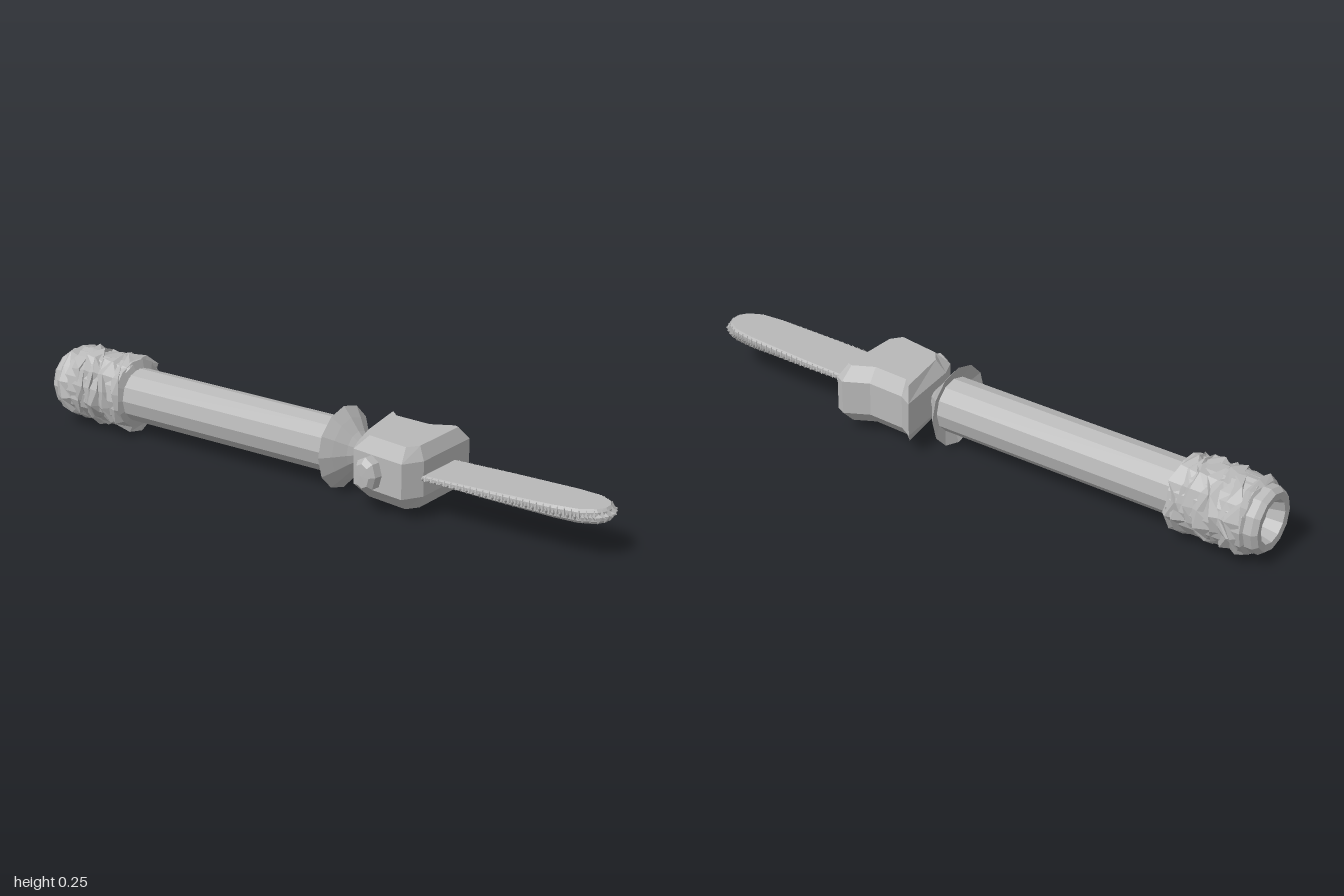
import * as THREE from 'three';
import { mergeGeometries } from 'three/addons/utils/BufferGeometryUtils.js';

const AXIS_Y = 0.128;
const steel = new THREE.MeshStandardMaterial({ color: 0xb8b8b8, flatShading: true });
steel.name = 'grey steel';
const wrapGrey = steel.clone();
wrapGrey.name = 'grey wrap';
wrapGrey.side = THREE.DoubleSide;

let seed = 7;
const rand = () => ((seed = (seed * 16807) % 2147483647) / 2147483647);

function part(name, geometry, material = steel) {
  const mesh = new THREE.Mesh(geometry, material);
  mesh.name = name;
  return mesh;
}

// Skin over equal rings of points stacked upwards; each ring runs +x on its +z side
function loft(rings, capped = true) {
  const pos = [];
  const tri = (...pts) => pts.forEach((p) => pos.push(p.x, p.y, p.z));
  const n = rings[0].length;
  for (let k = 0; k + 1 < rings.length; k++) {
    for (let i = 0; i < n; i++) {
      const j = (i + 1) % n, lo = rings[k], hi = rings[k + 1];
      tri(lo[i], lo[j], hi[j]);
      tri(lo[i], hi[j], hi[i]);
    }
  }
  if (capped) {
    const cap = (ring, up) => {
      const flat = ring.map((p) => new THREE.Vector2(p.x, -p.z));
      for (const [a, b, c] of THREE.ShapeUtils.triangulateShape(flat, [])) {
        if (up) tri(ring[a], ring[b], ring[c]);
        else tri(ring[c], ring[b], ring[a]);
      }
    };
    cap(rings[0], false);
    cap(rings[rings.length - 1], true);
  }
  const g = new THREE.BufferGeometry();
  g.setAttribute('position', new THREE.Float32BufferAttribute(pos, 3));
  g.computeVertexNormals();
  return g;
}

// Turned part along the x axis, from [radius, x] pairs
function turned(profile, sides = 12) {
  const g = new THREE.LatheGeometry(profile.map(([r, x]) => new THREE.Vector2(r, x)), sides);
  return g.rotateZ(-Math.PI / 2);
}

// Ragged, tilted strip wound round the grip
function wrapBand(x, width) {
  const n = 14, tilt = (rand() - 0.5) * 0.3, turn = rand() * 6;
  const edge = (x0, radius) => Array.from({ length: n }, (_, i) => {
    const a = (i / n) * Math.PI * 2;
    const r = radius + (rand() - 0.5) * 0.014;
    const px = x0 + Math.cos(a + turn) * tilt * 0.08 + (rand() - 0.5) * 0.04;
    return new THREE.Vector3(Math.max(-0.965, Math.min(-0.708, px)), r * Math.cos(a), r * Math.sin(a));
  });
  return loft([edge(x, 0.106), edge(x + width * 0.6, 0.119), edge(x + width, 0.105)], false);
}

function buildHead() {
  const outer = [[0.145, -0.16], [0.19, -0.135], [0.315, -0.13], [0.39, -0.17], [0.42, -0.155],
    [0.42, 0.08], [0.385, 0.14], [0.2, 0.115], [0.175, 0.06]].reverse();
  const inner = [[0.17, -0.125], [0.2, -0.1], [0.32, -0.095], [0.385, -0.13], [0.4, -0.125],
    [0.4, 0.07], [0.375, 0.105], [0.235, 0.085], [0.205, 0.05]].reverse();
  const ring = (pts, y) => pts.map(([x, z]) => new THREE.Vector3(x, y, z));
  return loft([ring(inner, -0.094), ring(outer, -0.053), ring(outer, 0.054), ring(inner, 0.094)]);
}

// Guide bar outline, half width along x
const barHalf = [[0.4, 0.086], [0.62, 0.086], [0.84, 0.079], [0.92, 0.068], [0.963, 0.042], [0.978, 0.014]];
const barOutline = [...barHalf, ...barHalf.map(([x, w]) => [x, -w]).reverse()];
const barThickness = (x) => 0.007 + 0.015 * (x - 0.4) / 0.58;

function buildBar() {
  const ring = (scale, level) => barOutline.map(([x, z]) => {
    const px = x > 0.9 ? x - (1 - scale) * 0.08 : x;
    return new THREE.Vector3(px, level * barThickness(x), z * scale);
  });
  return loft([ring(0.92, -1), ring(1, -0.6), ring(1, 0.6), ring(0.92, 1)]);
}

function buildChain() {
  const path = new THREE.CurvePath();
  for (let i = 0; i + 1 < barOutline.length; i++) {
    const [a, b] = [barOutline[i], barOutline[i + 1]];
    path.add(new THREE.LineCurve(new THREE.Vector2(...a), new THREE.Vector2(...b)));
  }
  const teeth = [], count = 116;
  for (let i = 2; i < count - 1; i++) {
    const p = path.getPointAt(i / count);
    const t = path.getTangentAt(i / count);
    // Pointed tooth leaning along the chain, alternately up and down
    const g = new THREE.ConeGeometry(0.007, 0.02, 4);
    g.scale(1, 1, barThickness(p.x) * 0.85 / 0.007);
    g.rotateX((i % 2 ? 1 : -1) * 0.25).rotateZ(-0.35);
    g.rotateX(Math.PI / 2);
    g.rotateY(-Math.atan2(t.y, t.x));
    g.translate(p.x - t.y * 0.004, 0, p.y + t.x * 0.004);
    teeth.push(g);
  }
  return mergeGeometries(teeth);
}

export function createModel() {
  const model = new THREE.Group();
  model.name = 'poleSaw';
  const tool = new THREE.Group();
  tool.name = 'tool';
  tool.position.y = AXIS_Y;
  model.add(tool);

  // Shaft and hollow butt end
  tool.add(part('shaft', turned([[0.085, -0.74], [0.085, 0.105]])));
  tool.add(part('buttCap', turned([[0, -0.95], [0.052, -0.95], [0.066, -0.998], [0.088, -1],
    [0.1, -0.985], [0.1, -0.93]])));

  // Wrapped grip
  tool.add(part('gripCore', turned([[0.09, -0.966], [0.11, -0.955], [0.112, -0.72], [0.085, -0.71]], 14)));
  const bands = [];
  for (let i = 0; i < 7; i++) bands.push(wrapBand(-0.965 + i * 0.034, 0.055));
  tool.add(part('gripWrap', mergeGeometries(bands), wrapGrey));

  // Flared collar behind the head
  tool.add(part('collar', turned([[0.08, 0.1], [0.127, 0.082], [0.096, 0.108], [0.06, 0.135], [0.022, 0.17], [0.016, 0.21]])));

  // Motor head with an oval knob on its front
  tool.add(part('motorHead', buildHead()));
  const knob = new THREE.LatheGeometry([[0.04, -0.02], [0.04, 0.022], [0.028, 0.037], [0, 0.038]]
    .map(([r, y]) => new THREE.Vector2(r, y)), 8);
  knob.rotateX(Math.PI / 2).scale(1, 1.33, 1).rotateY(-0.13);
  const knobMesh = part('knob', knob);
  knobMesh.position.set(0.27, 0, 0.13);
  tool.add(knobMesh);

  // Guide bar and chain
  const blade = new THREE.Group();
  blade.name = 'blade';
  blade.position.y = 0.003;
  blade.add(part('guideBar', buildBar()), part('chain', buildChain()));
  tool.add(blade);

  return model;
}
